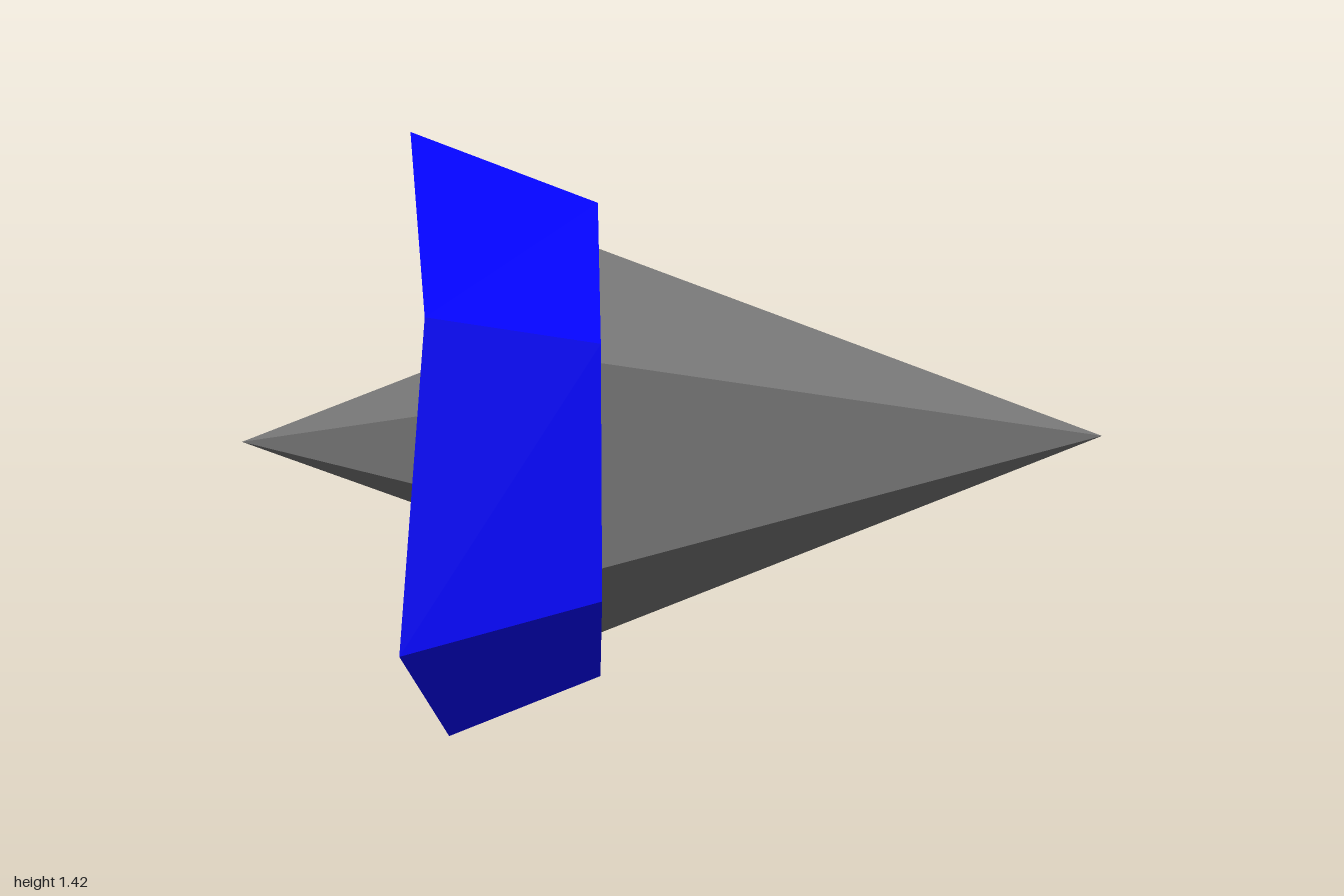
import * as THREE from 'three';

const CENTRE_Y = 0.71;
const GREY = 0x737373;
const BLUE = 0x0000ff;

// Lofts hexagonal sections along x. Each section is [x, r, oddX, oddR]:
// even corners (top, lower sides) use the first pair, odd corners the second.
function hexLoft(name, sections, color) {
  const corner = ([x, r, oddX = x, oddR = r], i) => {
    const a = (i % 6) * Math.PI / 3;
    const odd = i % 2 === 1;
    const radius = odd ? oddR : r;
    return [odd ? oddX : x, radius * Math.cos(a), radius * Math.sin(a)];
  };
  const positions = [];
  for (let s = 0; s < sections.length - 1; s++) {
    const from = sections[s], to = sections[s + 1];
    for (let i = 0; i < 6; i++) {
      const a = corner(from, i), b = corner(from, i + 1);
      const c = corner(to, i), d = corner(to, i + 1);
      // A section of zero radius is a tip, so it needs one triangle only
      if (from[1] > 0) positions.push(...a, ...b, ...c);
      if (to[1] > 0) positions.push(...b, ...d, ...c);
    }
  }
  const geometry = new THREE.BufferGeometry();
  geometry.setAttribute('position', new THREE.Float32BufferAttribute(positions, 3));
  geometry.computeVertexNormals();
  const material = new THREE.MeshStandardMaterial({ color, flatShading: true, side: THREE.DoubleSide });
  const mesh = new THREE.Mesh(geometry, material);
  mesh.name = name;
  mesh.position.y = CENTRE_Y;
  return mesh;
}

export function createModel() {
  const model = new THREE.Group();
  model.name = 'spikedHexagon';

  // Long spike pointing along +x
  model.add(hexLoft('longSpike', [
    [-0.177, 0.443, -0.177, 0.461],
    [1, 0],
  ], GREY));

  // Collar: rear lip, zigzag rear rim, tapering wall, front face
  model.add(hexLoft('collar', [
    [-0.545, 0.59, -0.505, 0.59],
    [-0.6, 0.708, -0.535, 0.708],
    [-0.177, 0.547, -0.177, 0.566],
    [-0.177, 0.443, -0.177, 0.461],
  ], BLUE));

  // Rear dish running from the short spike's base out to the collar lip
  model.add(hexLoft('rearDish', [
    [-0.376, 0.24, -0.36, 0.24],
    [-0.545, 0.59, -0.505, 0.59],
  ], GREY));

  // Short spike pointing along -x
  model.add(hexLoft('shortSpike', [
    [-1, 0],
    [-0.376, 0.24, -0.36, 0.24],
  ], GREY));

  return model;
}
